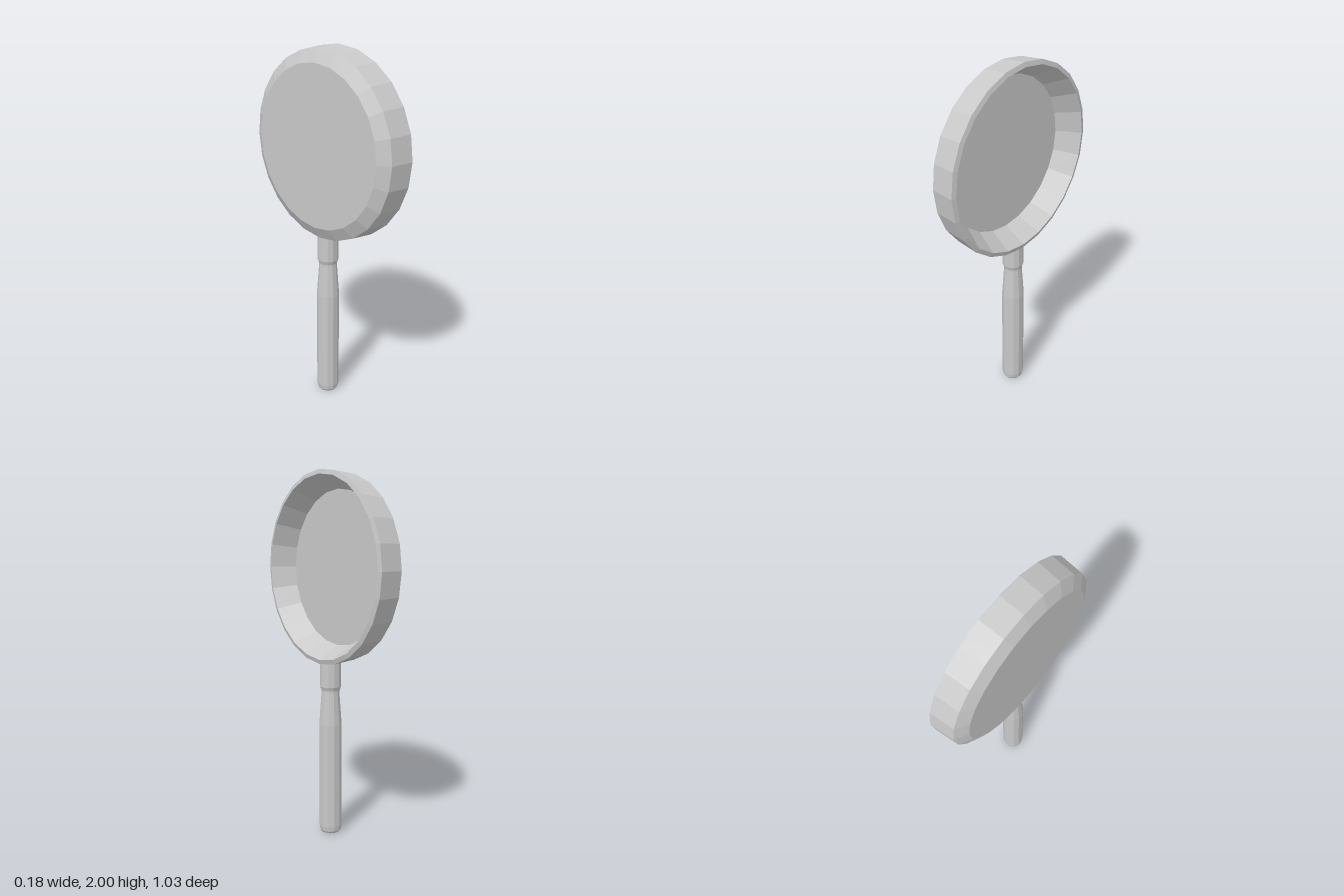
import * as THREE from 'three';

// Faceted solid of revolution from [radius, height] pairs
function turned(name, profile, sides, material, phase = 0) {
  const points = profile.map(([r, h]) => new THREE.Vector2(r, h));
  const geometry = new THREE.LatheGeometry(points, sides, phase).toNonIndexed();
  geometry.computeVertexNormals();
  const mesh = new THREE.Mesh(geometry, material);
  mesh.name = name;
  return mesh;
}

export function createModel() {
  const model = new THREE.Group();
  model.name = 'fryingPan';
  const metal = new THREE.MeshStandardMaterial({ color: 0xc8c8c8 });
  metal.name = 'greyMetal';
  metal.flatShading = true;

  // Pan: base, bevel, outer wall, rim, inner wall and cooking surface
  const pan = turned('pan', [
    [0, -0.09], [0.435, -0.09], [0.502, -0.053], [0.514, 0.08],
    [0.49, 0.087], [0.42, -0.04], [0, -0.04],
  ], 24, metal);
  pan.rotation.z = -Math.PI / 2;
  pan.position.y = 1.486;
  model.add(pan);

  // Handle: rounded end, straight grip and tapered neck
  const handle = new THREE.Group();
  handle.name = 'handle';
  handle.position.x = 0.01;
  const phase = Math.PI / 12;
  handle.add(turned('grip', [
    [0, 0], [0.052, 0], [0.06, 0.012], [0.064, 0.04],
    [0.063, 0.63], [0.05, 0.81], [0.05, 0.84], [0, 0.84],
  ], 12, metal, phase));

  // Collar joining the grip to the pan wall
  handle.add(turned('collar', [
    [0, 0.822], [0.052, 0.822], [0.059, 0.842], [0.059, 0.99], [0, 0.99],
  ], 12, metal, phase));
  model.add(handle);

  return model;
}
